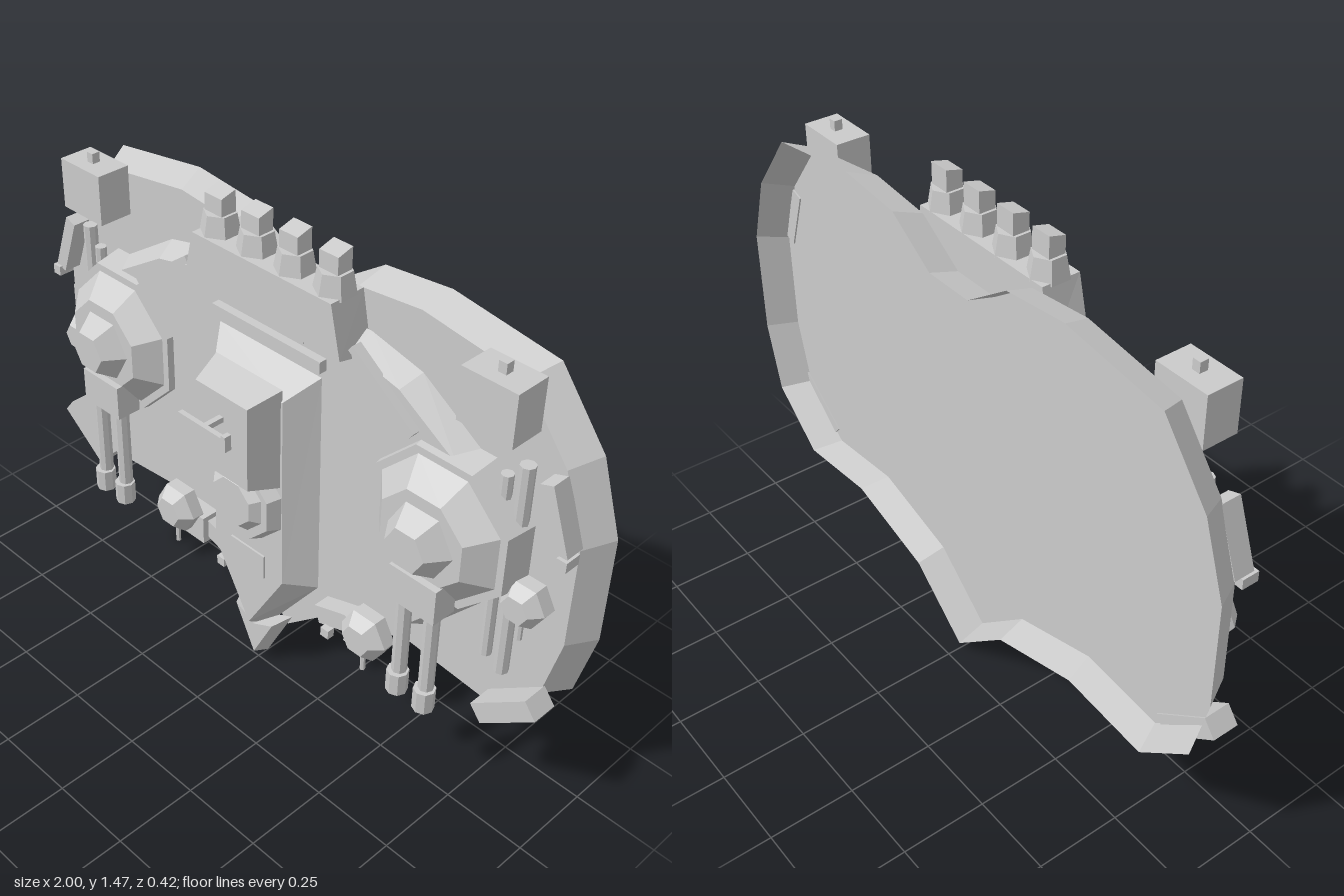
import * as THREE from 'three';

const grey = new THREE.MeshStandardMaterial({ color: 0xcccccc, flatShading: true });
const greyDouble = new THREE.MeshStandardMaterial({ color: 0xcccccc, flatShading: true, side: THREE.DoubleSide });

// Mirrors a half outline (+x side, bottom to top) into a closed outline
const mirrored = (half) => [...half, ...half.filter(p => p[0] > 0).reverse().map(([x, y]) => [-x, y])];

// Regular polygon outline
const ngon = (n, r, rot, cx, cy) => Array.from({ length: n }, (_, i) => {
  const a = rot + i * Math.PI * 2 / n;
  return [cx + r * Math.cos(a), cy + r * Math.sin(a)];
});

// Outline extruded from z0 to z1, its front scaled about (cx, cy); open drops the back face
function frustum(pts, z0, z1, cx, cy, sx = 1, sy = sx, open = false) {
  const shape = new THREE.Shape(pts.map(p => new THREE.Vector2(...p)));
  let geo = new THREE.ExtrudeGeometry(shape, { depth: 1, bevelEnabled: false });
  const p = geo.attributes.position, kept = [];
  for (let i = 0; i < p.count; i += 3) {
    const tri = [i, i + 1, i + 2];
    if (open && tri.every(j => p.getZ(j) < 0.5)) continue;
    for (const j of tri) {
      const front = p.getZ(j) > 0.5;
      kept.push(front ? cx + (p.getX(j) - cx) * sx : p.getX(j),
        front ? cy + (p.getY(j) - cy) * sy : p.getY(j), front ? z1 : z0);
    }
  }
  geo = new THREE.BufferGeometry();
  geo.setAttribute('position', new THREE.Float32BufferAttribute(kept, 3));
  geo.computeVertexNormals();
  return geo;
}

export function createModel() {
  const model = new THREE.Group();
  model.name = 'fortressShip';

  const add = (name, geo, x = 0, y = 0, z = 0, mat = grey, parent = model) => {
    const mesh = new THREE.Mesh(geo, mat);
    mesh.name = name;
    mesh.position.set(x, y, z);
    parent.add(mesh);
    return mesh;
  };
  // Box from its limits
  const box = (name, x0, x1, y0, y1, z0, z1, parent = model) => add(name,
    new THREE.BoxGeometry(Math.abs(x1 - x0), y1 - y0, z1 - z0),
    (x0 + x1) / 2, (y0 + y1) / 2, (z0 + z1) / 2, grey, parent);
  // Slab running from a to b in the front plane
  const plank = (name, a, b, width, z0, z1, parent = model) => {
    const dx = b[0] - a[0], dy = b[1] - a[1];
    const mesh = add(name, new THREE.BoxGeometry(Math.hypot(dx, dy), width, z1 - z0),
      (a[0] + b[0]) / 2, (a[1] + b[1]) / 2, (z0 + z1) / 2, grey, parent);
    mesh.rotation.z = Math.atan2(dy, dx);
    return mesh;
  };

  // Back dish, open to the rear
  const dish = mirrored([[0, 0.02], [0.2, 0.195], [0.5, 0.285], [0.78, 0.26], [0.95, 0.41], [1, 0.62],
    [1, 0.94], [0.93, 1.15], [0.78, 1.34], [0.45, 1.387], [0.235, 1.365], [0.08, 1.26]]);
  add('backDish', frustum(dish, -0.21, -0.125, 0, 0.7, 0.955, 0.955, true), 0, 0, 0, greyDouble);

  // Middle hull
  const hull = mirrored([[0.19, 0.4], [0.34, 0.455], [0.55, 0.43], [0.78, 0.7], [0.78, 0.95],
    [0.66, 1.07], [0.46, 1.2], [0.29, 1.24]]);
  add('middleHull', frustum(hull, -0.11, -0.045, 0, 0.84, 0.96, 0.92));

  // Central spine with a pointed lower end
  add('spine', frustum(mirrored([[0, 0.11], [0.2, 0.38], [0.19, 1.085]]), -0.04, 0.04, 0, 0.55, 0.68, 0.87));
  add('spineTip', frustum(mirrored([[0, 0], [0.1, 0.2], [0.0001, 0.15]]), -0.04, 0.02, 0, 0.13, 0.75));
  box('spineVent', -0.067, 0.067, 0.38, 0.46, 0.03, 0.046);
  box('spineCollar', -0.2, 0.2, 1.11, 1.145, -0.06, -0.02);
  box('spineCollarLip', -0.12, 0.12, 1.155, 1.175, -0.08, -0.04);

  // Bridge block and its mast
  add('bridge', frustum([[-0.125, 0.735], [0.125, 0.735], [0.125, 1.05], [-0.125, 1.05]],
    0.035, 0.135, 0, 0.89, 0.78, 0.83));
  box('mast', -0.008, 0.008, 0.94, 0.956, 0.13, 0.2);
  box('mastBar', -0.09, 0.09, 0.938, 0.958, 0.19, 0.205);
  box('mastEnd', 0.08, 0.095, 0.925, 0.972, 0.188, 0.21);

  // Octagonal dome under the bridge
  const eighth = Math.PI / 8;
  add('domeBase', frustum(ngon(8, 0.145, eighth, 0, 0.65), 0.03, 0.08, 0, 0.65, 0.85));
  add('dome', frustum(ngon(8, 0.1, eighth, 0, 0.655), 0.08, 0.105, 0, 0.655, 0.75));

  // Engine block and nozzles
  add('engineBlock', frustum([[-0.285, 1.17], [0.285, 1.17], [0.25, 1.345], [-0.25, 1.345]],
    -0.115, 0, 0, 1.345, 1, 0.85));
  for (const x of [-0.205, -0.068, 0.068, 0.205]) {
    add('nozzle', new THREE.CylinderGeometry(0.046, 0.058, 0.065, 6), x, 1.37, -0.06);
    const cap = new THREE.BoxGeometry(0.064, 0.07, 0.05);
    const p = cap.attributes.position;
    for (let i = 0; i < p.count; i++) if (p.getY(i) > 0 && p.getZ(i) > 0) p.setY(i, 0.022);
    add('nozzleCap', cap, x, 1.43, -0.06);
  }

  for (const s of [-1, 1]) {
    const side = new THREE.Group();
    side.name = s > 0 ? 'leftSide' : 'rightSide';
    model.add(side);
    const put = (name, geo, x = 0, y = 0, z = 0) => add(name, geo, x, y, z, grey, side);
    const block = (name, x0, x1, ...rest) => box(name, s * x0, s * x1, ...rest, side);
    const slab = (name, a, b, ...rest) => plank(name, [s * a[0], a[1]], [s * b[0], b[1]], ...rest, side);

    // Large turret: octagonal tiers and a hexagonal cap
    const tx = s * 0.61, ty = 0.85;
    put('turretRing', frustum(ngon(8, 0.243, eighth, tx, ty), -0.11, -0.025, tx, ty, 0.94));
    put('turretBody', frustum(ngon(8, 0.205, eighth, tx, ty), -0.025, 0.04, tx, ty, 0.68));
    put('turretCap', frustum(ngon(6, 0.105, 0, tx, ty), 0.04, 0.1, tx, ty, 0.6));

    // Twin guns hanging from the turret
    block('gunMount', 0.535, 0.69, 0.63, 0.74, -0.02, 0.06);
    for (const dx of [-0.047, 0.047]) {
      put('gunBarrel', new THREE.CylinderGeometry(0.022, 0.022, 0.32, 8), s * 0.612 + dx, 0.5, 0.025);
      put('gunMuzzle', new THREE.CylinderGeometry(0.031, 0.031, 0.07, 8), s * 0.612 + dx, 0.335, 0.03);
    }

    // Upper corner boxes
    block('cornerBox', 0.645, 0.81, 1.205, 1.355, -0.115, -0.01);
    block('cornerNub', 0.718, 0.742, 1.355, 1.385, -0.075, -0.05);

    // Side pipes
    put('longPipe', new THREE.CylinderGeometry(0.021, 0.021, 0.66, 8), s * 0.805, 0.79, -0.09);
    put('shortPipe', new THREE.CylinderGeometry(0.017, 0.017, 0.58, 8), s * 0.755, 0.78, -0.085);

    // Small hexagonal guns, at the side and below
    for (const [x, y, z, r] of [[0.855, 0.73, -0.055, 0.068], [0.39, 0.335, -0.01, 0.08]]) {
      const cx = s * x;
      put('smallGunBase', frustum(ngon(6, r, 0, cx, y), z - 0.055, z - 0.015, cx, y, 1));
      put('smallGunCap', frustum(ngon(6, r, 0, cx, y), z - 0.015, z + 0.02, cx, y, 0.6));
      put('smallGunBarrel', new THREE.CylinderGeometry(0.008, 0.008, 0.08, 6), cx, y - r - 0.01, z - 0.02);
    }
    block('smallGunBlock', 0.295, 0.39, 0.235, 0.33, -0.11, -0.05);

    // Armour slabs around the rim
    slab('upperArmour', [0.94, 0.93], [0.875, 1.11], 0.04, -0.13, -0.07);
    block('upperArmourClip', 0.935, 0.965, 0.905, 0.935, -0.11, -0.06);
    slab('lowerArmour', [0.935, 0.43], [0.77, 0.3], 0.06, -0.13, -0.05);
    slab('lowerFin', [0.32, 0.29], [0.17, 0.24], 0.06, -0.125, -0.07);
    block('lowerFinClip', 0.205, 0.235, 0.195, 0.225, -0.075, -0.05);
    slab('hullBrace', [0.51, 1.08], [0.3, 1.235], 0.022, -0.05, -0.02);
  }
  return model;
}
